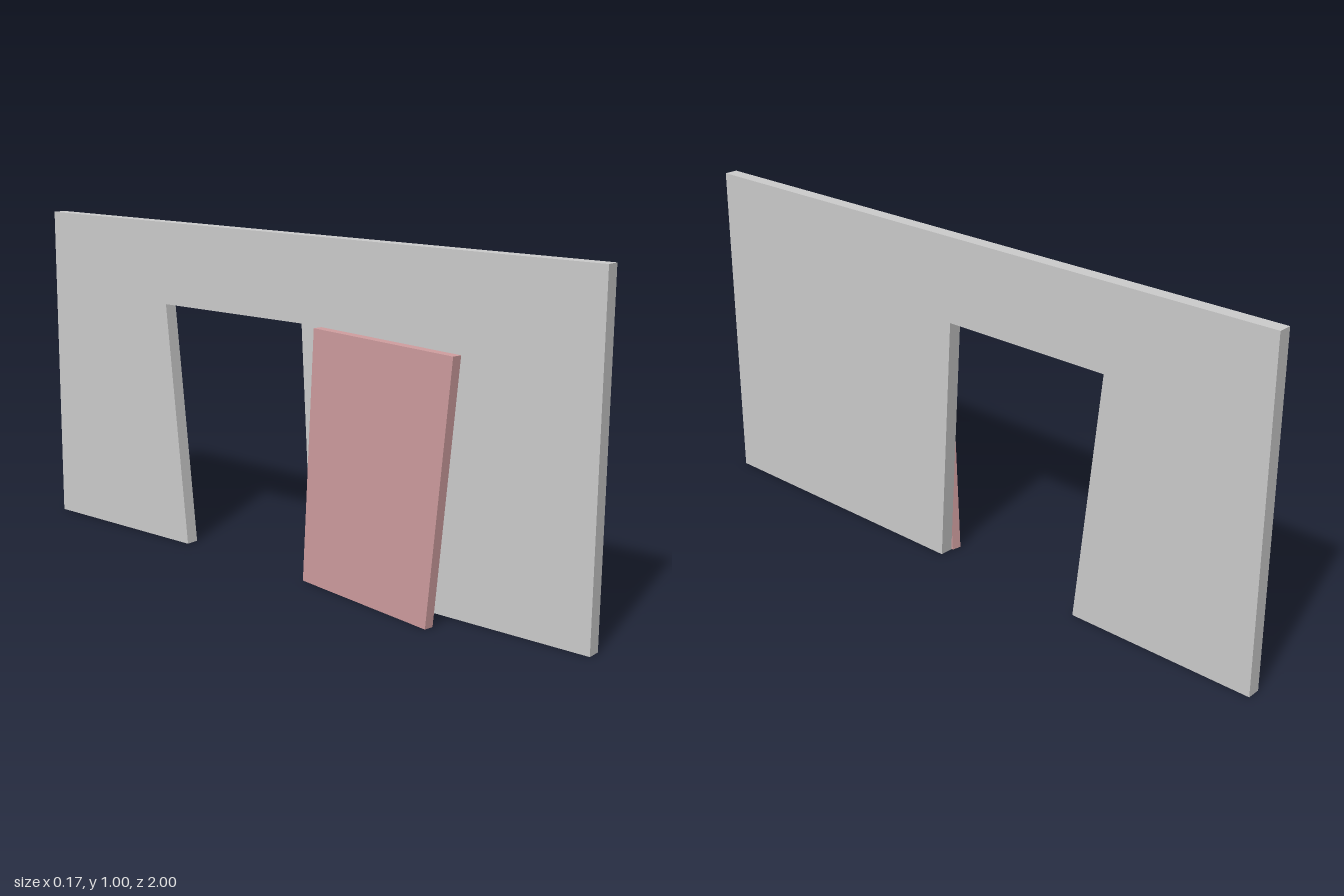
import * as THREE from 'three';

// Upright slab: outline drawn in (length, height), with its length turned towards +z
// and its thickness growing towards -x; swing opens it further away from the wall.
function slab(name, outline, thickness, color, x, z, swing = 0) {
  const shape = new THREE.Shape(outline.map(([u, v]) => new THREE.Vector2(u, v)));
  const geometry = new THREE.ExtrudeGeometry(shape, { depth: thickness, bevelEnabled: false });
  const mesh = new THREE.Mesh(geometry, new THREE.MeshStandardMaterial({ color }));
  mesh.name = name;
  mesh.rotation.y = -Math.PI / 2 - swing;
  mesh.position.set(x, 0, z);
  return mesh;
}

export function createModel() {
  const group = new THREE.Group();
  group.name = 'wallWithOpenDoor';
  const doorHeight = 0.75;

  // Wall with a slanted doorway open at the floor
  group.add(slab('wall', [
    [-1, 0], [-0.418, 0], [-0.498, doorHeight], [0.043, doorHeight],
    [0.086, 0], [1, 0], [1, 1], [-1, 1],
  ], 0.041, 0xcccccc, 0.086, 0));

  // Door matching the doorway, standing ajar by ten degrees against the wall
  group.add(slab('door', [
    [0, 0], [0.504, 0], [0.582, doorHeight], [0.043, doorHeight],
  ], 0.0285, 0xd09ea0, 0.0435, 0.081, THREE.MathUtils.degToRad(10)));

  return group;
}
